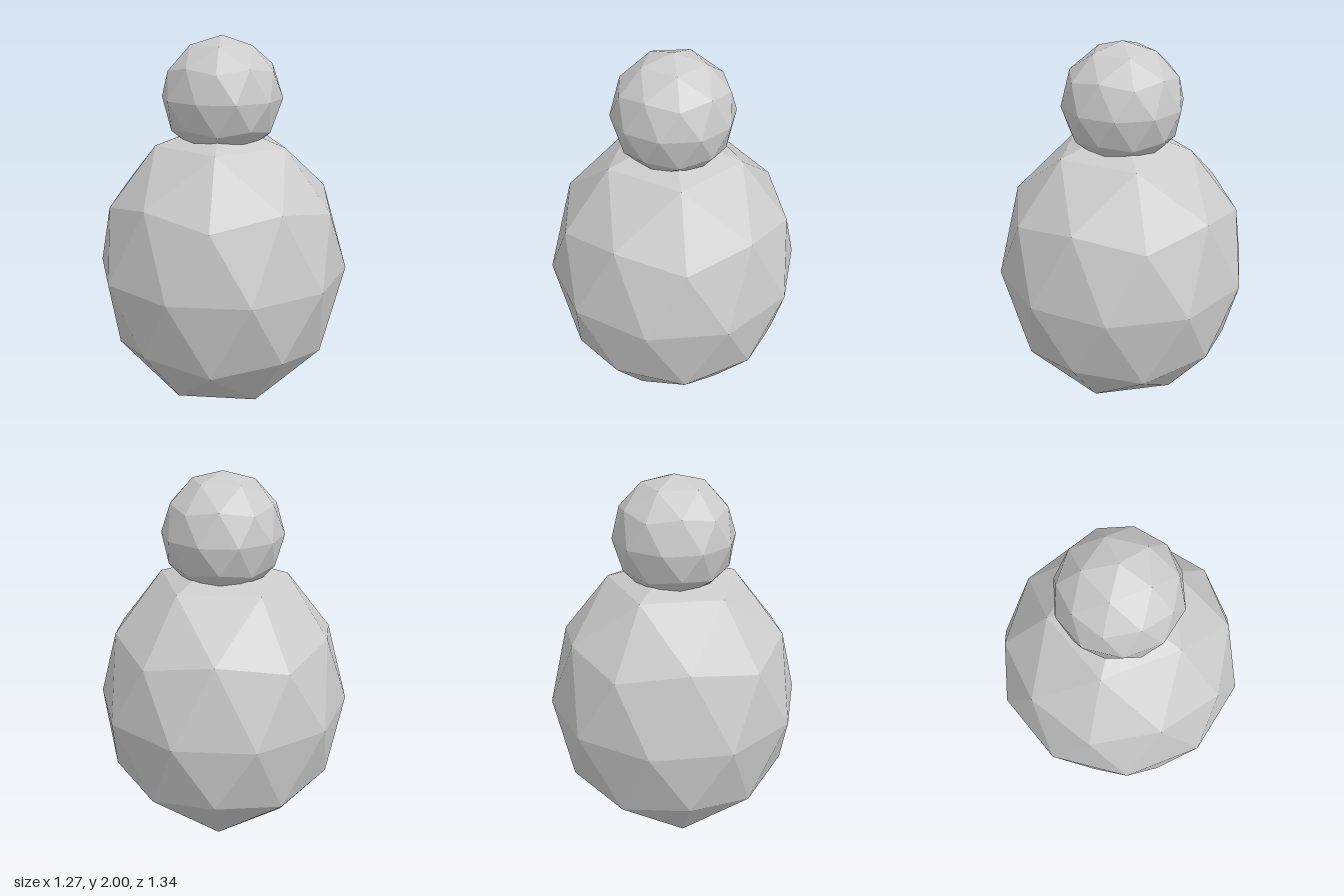
import * as THREE from 'three';

// Faceted ball with a vertex at each pole, stretched to the given radius and half height
function facetedBall(name, radius, halfHeight, centreY, material) {
  const golden = (1 + Math.sqrt(5)) / 2;
  const geometry = new THREE.IcosahedronGeometry(1, 1);
  geometry.rotateZ(-Math.atan(1 / golden)); // stand it on a vertex
  geometry.scale(radius, halfHeight, radius);
  geometry.computeVertexNormals();
  const mesh = new THREE.Mesh(geometry, material);
  mesh.name = name;
  mesh.position.y = centreY;
  return mesh;
}

export function createModel() {
  const model = new THREE.Group();
  model.name = 'figure';
  const material = new THREE.MeshStandardMaterial({ color: 0xcccccc, flatShading: true });

  // Egg-shaped body standing on its lower pole
  model.add(facetedBall('body', 0.668, 0.784, 0.784, material));

  // Round head sunk a little into the top of the body
  model.add(facetedBall('head', 0.313, 0.312, 1.688, material));

  return model;
}
